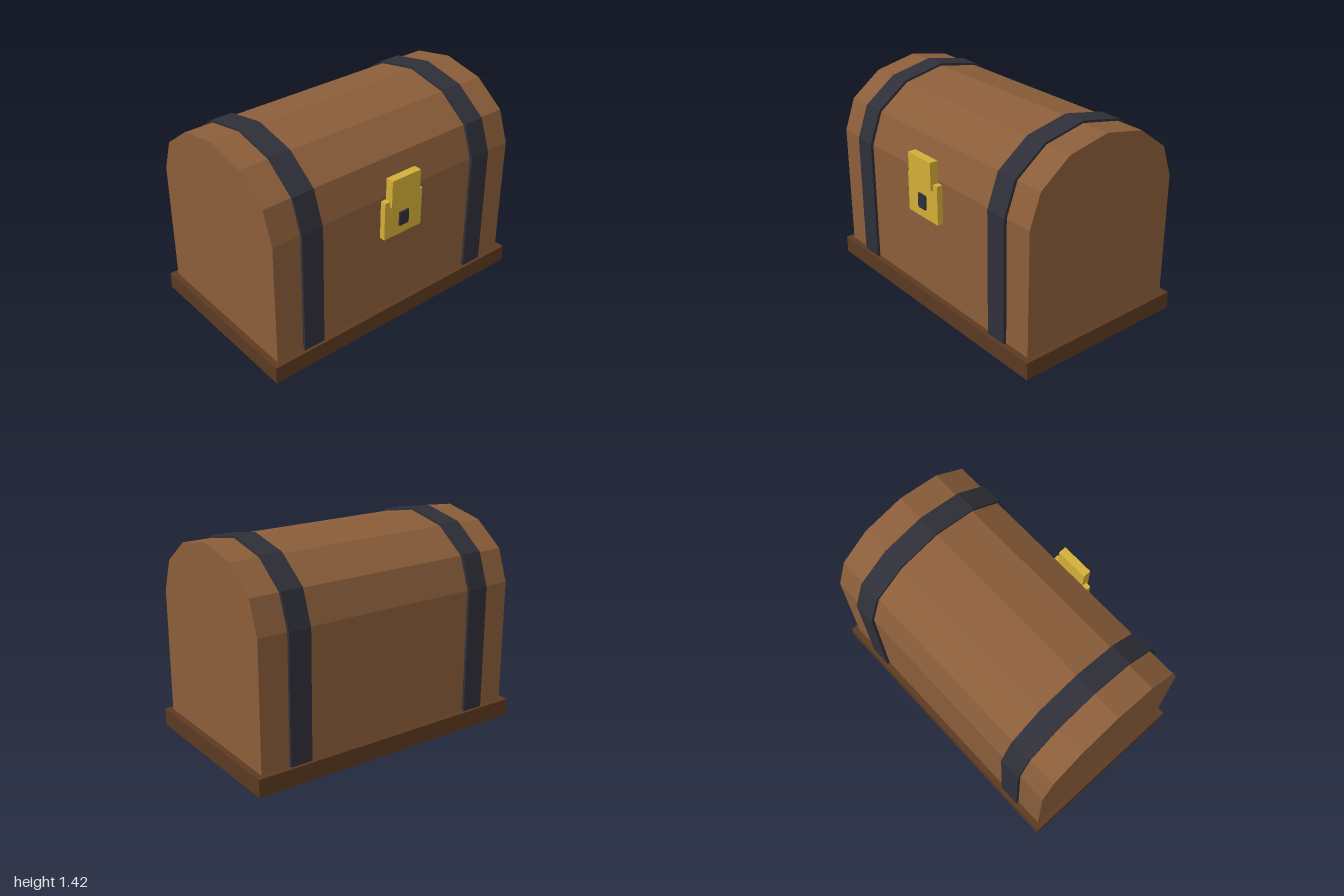
import * as THREE from 'three';

const material = (name, color) => {
  const m = new THREE.MeshStandardMaterial({ color });
  m.name = name;
  return m;
};

export function createModel() {
  const chest = new THREE.Group();
  chest.name = 'chest';
  const wood = material('wood', 0x8b5e3a);
  const darkWood = material('darkWood', 0x5c3a21);
  const iron = material('iron', 0x2f2f39);
  const brass = material('brass', 0xd4af37);
  const centreZ = -0.009;

  function add(name, geometry, mat) {
    const mesh = new THREE.Mesh(geometry, mat);
    mesh.name = name;
    chest.add(mesh);
    return mesh;
  }

  // Box given by its limits on each axis
  function box(name, mat, [x0, x1], [y0, y1], [z0, z1]) {
    const mesh = add(name, new THREE.BoxGeometry(x1 - x0, y1 - y0, z1 - z0), mat);
    mesh.position.set((x0 + x1) / 2, (y0 + y1) / 2, (z0 + z1) / 2);
  }

  // Straight sides with a six-facet arched top, extruded along x
  function arch(name, mat, halfDepth, bottom, spring, rise, x, width) {
    const shape = new THREE.Shape();
    shape.moveTo(-halfDepth, bottom);
    shape.lineTo(halfDepth, bottom);
    for (let i = 0; i <= 6; i++) {
      const a = (i * Math.PI) / 6;
      shape.lineTo(halfDepth * Math.cos(a), spring + rise * Math.sin(a));
    }
    shape.closePath();
    const geometry = new THREE.ExtrudeGeometry(shape, { depth: width, bevelEnabled: false });
    geometry.translate(0, 0, -width / 2);
    geometry.rotateY(Math.PI / 2);
    add(name, geometry, mat).position.set(x, 0, centreZ);
  }

  // Body with its arched lid
  arch('body', wood, 0.576, 0.02, 0.974, 0.431, 0, 1.92);

  // Iron straps wrapped around the whole chest
  for (const side of [-1, 1]) {
    arch(side > 0 ? 'leftStrap' : 'rightStrap', iron, 0.596, 0, 0.978, 0.442, side * 0.69, 0.15);
  }

  // Base board
  box('base', darkWood, [-1, 1], [0.012, 0.13], [-0.624, 0.606]);

  // Lock plate, hasp and keyhole
  box('lockPlate', brass, [-0.153, 0.153], [0.69, 0.957], [0.56, 0.607]);
  box('hasp', brass, [-0.115, 0.115], [0.92, 1.108], [0.57, 0.626]);
  box('keyhole', iron, [-0.037, 0.037], [0.755, 0.852], [0.6, 0.619]);

  return chest;
}
